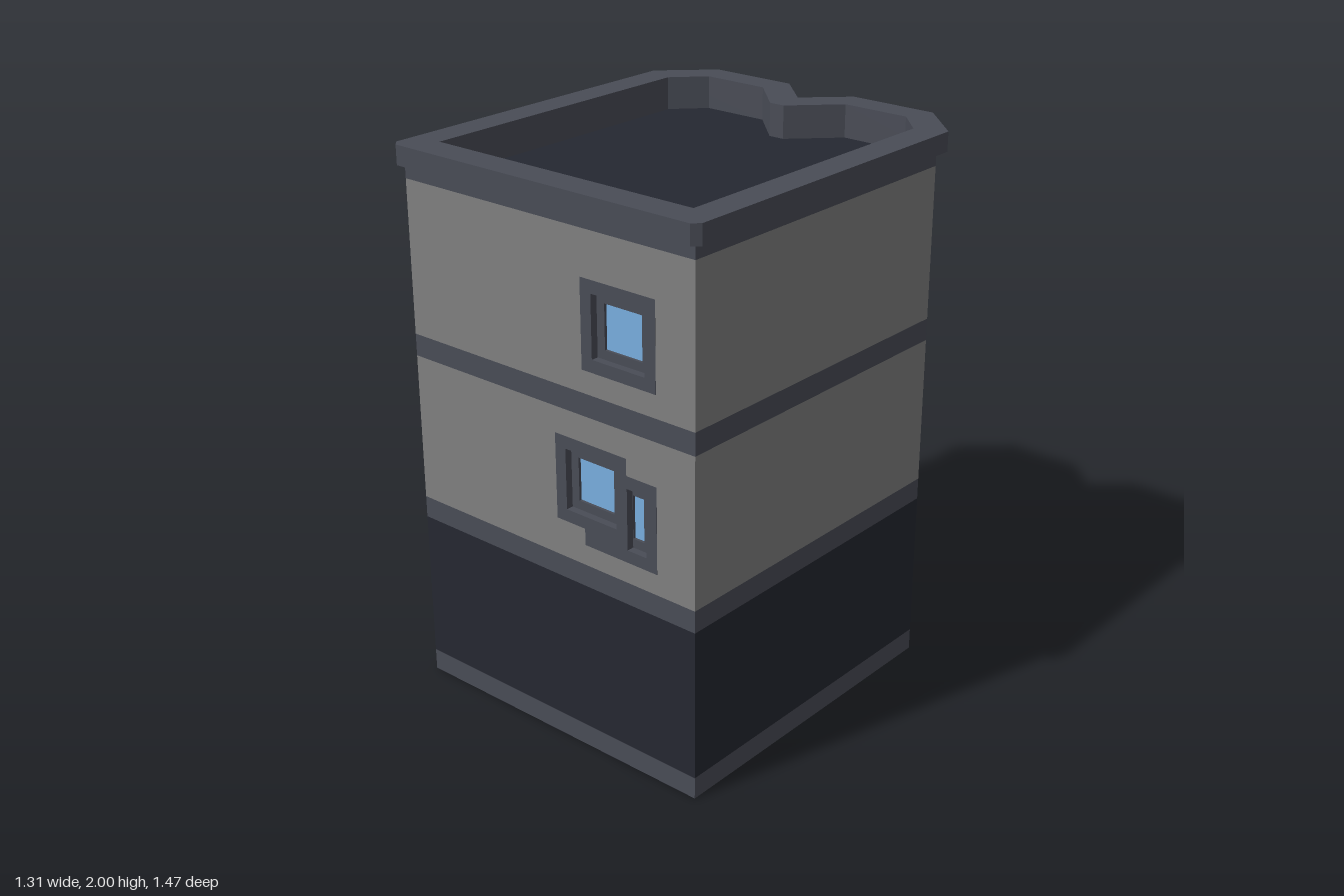
import * as THREE from 'three';

const mat = (color) => new THREE.MeshStandardMaterial({ color, flatShading: true, side: THREE.DoubleSide });
const WALL = mat(0x808080), TRIM = mat(0x494c56), DARK = mat(0x252831), GLASS = mat(0x78aedf);

// Plan outlines as [x, z], walked so that each edge runs left to right seen from outside
const footprint = [[-0.625, 0.705], [0.625, 0.705], [0.625, -0.545], [-0.625, -0.545]];
const bayPlan = [
  [-0.625, 0.705], [0.625, 0.705], [0.625, -0.545], [0.47, -0.7], [0.155, -0.7],
  [0, -0.545], [-0.155, -0.7], [-0.47, -0.7], [-0.625, -0.545],
];
const mirrored = (half) => [...half, ...half.map(([x, z]) => [-x, z]).reverse()];
const cornicePlan = mirrored([[0.63, 0.735], [0.655, 0.71], [0.655, -0.565], [0.48, -0.735], [0.145, -0.735], [0.001, -0.597]]);
const roofPlan = mirrored([[0.545, 0.62], [0.545, -0.52], [0.44, -0.63], [0.185, -0.63], [0.03, -0.475]]);

const shapeOf = (pts, holes = []) => {
  const s = new THREE.Shape(pts.map(([a, b]) => new THREE.Vector2(a, b)));
  for (const h of holes) s.holes.push(new THREE.Path(h.map(([a, b]) => new THREE.Vector2(a, b))));
  return s;
};
const rect = (x0, y0, x1, y1) => [[x0, y0], [x1, y0], [x1, y1], [x0, y1]];
const square = (u, v, h) => rect(u - h, v - h, u + h, v + h);
const flip = (plan) => plan.map(([x, z]) => [x, -z]);

function add(parent, name, geometry, material) {
  const m = new THREE.Mesh(geometry, material);
  m.name = name;
  parent.add(m);
  return m;
}

// Horizontal prism from a plan
function band(parent, name, plan, y0, y1, material, hole) {
  const g = new THREE.ExtrudeGeometry(shapeOf(flip(plan), hole ? [flip(hole)] : []), { depth: y1 - y0, bevelEnabled: false });
  add(parent, name, g.rotateX(-Math.PI / 2).translate(0, y0, 0), material);
}

// Horizontal sheet from a plan
function sheet(parent, name, plan, y, material) {
  add(parent, name, new THREE.ShapeGeometry(shapeOf(flip(plan))).rotateX(-Math.PI / 2).translate(0, y, 0), material);
}

// Group whose local x runs along a wall edge, with local z pointing outwards
function wallFrame(parent, name, p, q) {
  const g = new THREE.Group();
  g.name = name;
  g.position.set(p[0], 0, p[1]);
  g.rotation.y = Math.atan2(p[1] - q[1], q[0] - p[0]);
  g.userData.length = Math.hypot(q[0] - p[0], q[1] - p[1]);
  parent.add(g);
  return g;
}

const panel = (parent, name, pts, material, holes, z = 0) =>
  add(parent, name, new THREE.ShapeGeometry(shapeOf(pts, holes)).translate(0, 0, z), material);

// Plate with real thickness, front at zFront
const plate = (parent, name, pts, holes, zFront, depth, material) =>
  add(parent, name, new THREE.ExtrudeGeometry(shapeOf(pts, holes), { depth, bevelEnabled: false }).translate(0, 0, zFront - depth), material);

// Flush surround, set-back sash and glass
function windowUnit(parent, outline, opening, pane) {
  plate(parent, 'windowSurround', outline, [opening], 0.001, 0.03, TRIM);
  plate(parent, 'windowSash', opening, [pane], -0.026, 0.016, TRIM);
  panel(parent, 'windowGlass', pane, GLASS, [], -0.036);
}
const squareWindow = (parent, u, v) => windowUnit(parent, square(u, v, 0.155), square(u, v, 0.11), square(u, v, 0.078));

// Ground-floor opening: surround down to the ground, set-back dark panel, glass panes
function shopOpening(parent, name, u, panes) {
  const g = new THREE.Group();
  g.name = name;
  g.position.x = u;
  parent.add(g);
  const o = 0.235, i = 0.19;
  plate(g, 'openingSurround', [[-o, 0], [-i, 0], [-i, 0.435], [i, 0.435], [i, 0], [o, 0], [o, 0.48], [-o, 0.48]], [], 0.003, 0.055, TRIM);
  plate(g, 'openingPanel', rect(-i, 0, i, 0.435), panes, -0.045, 0.015, DARK);
  panes.forEach((p) => panel(g, 'openingGlass', p, GLASS, [], -0.053));
}

export function createModel() {
  const model = new THREE.Group();
  model.name = 'building';

  // Ground floor
  const ground = new THREE.Group();
  ground.name = 'groundFloor';
  model.add(ground);
  sheet(ground, 'groundSlab', footprint, 0, DARK);
  footprint.forEach((p, i) => {
    const w = wallFrame(ground, 'groundWall', p, footprint[(i + 1) % 4]);
    const L = w.userData.length;
    if (i !== 2) {
      panel(w, 'plinth', rect(0, 0, L, 0.08), TRIM);
      panel(w, 'groundWallFace', rect(0, 0.08, L, 0.63), DARK);
      return;
    }
    // Back wall with door and shop window
    const [a, b, c, d] = [0.0775, 0.5475, 0.7025, 1.1725];
    [[0, a], [b, c], [d, L]].forEach(([s, e]) => panel(w, 'plinth', rect(s, 0, e, 0.08), TRIM));
    panel(w, 'groundWallFace', [
      [0, 0.08], [a, 0.08], [a, 0.48], [b, 0.48], [b, 0.08], [c, 0.08], [c, 0.48],
      [d, 0.48], [d, 0.08], [L, 0.08], [L, 0.63], [0, 0.63],
    ], DARK);
    shopOpening(w, 'door', 0.3125, [rect(-0.17, 0.09, -0.12, 0.41), rect(-0.09, 0.03, 0.09, 0.41), rect(0.12, 0.09, 0.17, 0.41)]);
    shopOpening(w, 'shopWindow', 0.9375, [rect(-0.165, 0.09, 0.165, 0.41)]);
  });

  // Upper storeys, with twin bays at the back
  [[0.71, 1.25, 0.94], [1.33, 1.88, 1.565]].forEach(([y0, y1, v], storey) => {
    const floor = new THREE.Group();
    floor.name = storey ? 'topStorey' : 'middleStorey';
    model.add(floor);
    bayPlan.forEach((p, i) => {
      const w = wallFrame(floor, 'upperWall', p, bayPlan[(i + 1) % bayPlan.length]);
      const L = w.userData.length;
      const face = rect(0, y0, L, y1);
      const u = { 0: 0.9375, 3: L / 2, 6: L / 2, 8: 0.9375 }[i];
      if (u === undefined) {
        panel(w, 'wallFace', face, WALL);
      } else if (i === 0 && storey === 0) {
        // Two overlapping front windows: one whole, one partly covered
        panel(w, 'wallFace', face, WALL, [[
          [0.655, 0.845], [0.78, 0.845], [0.78, 0.785], [1.0925, 0.785],
          [1.0925, 1.095], [0.965, 1.095], [0.965, 1.155], [0.655, 1.155],
        ]]);
        squareWindow(w, 0.81, 1.0);
        windowUnit(w, [[0.78, 0.785], [1.0925, 0.785], [1.0925, 1.095], [0.965, 1.095], [0.965, 0.845], [0.78, 0.845]],
          rect(0.967, 0.83, 1.0475, 1.05), rect(0.968, 0.862, 1.0155, 1.018));
      } else {
        panel(w, 'wallFace', face, WALL, [square(u, v, 0.155)]);
        squareWindow(w, u, v);
      }
    });
  });

  // Trim bands, parapet and roof
  band(model, 'lowerBand', bayPlan, 0.63, 0.71, TRIM);
  band(model, 'middleBand', bayPlan, 1.25, 1.33, TRIM);
  band(model, 'upperBand', bayPlan, 1.88, 1.93, TRIM, roofPlan);
  band(model, 'cornice', cornicePlan, 1.93, 2, TRIM, roofPlan);
  sheet(model, 'roof', roofPlan, 1.88, DARK);
  return model;
}
